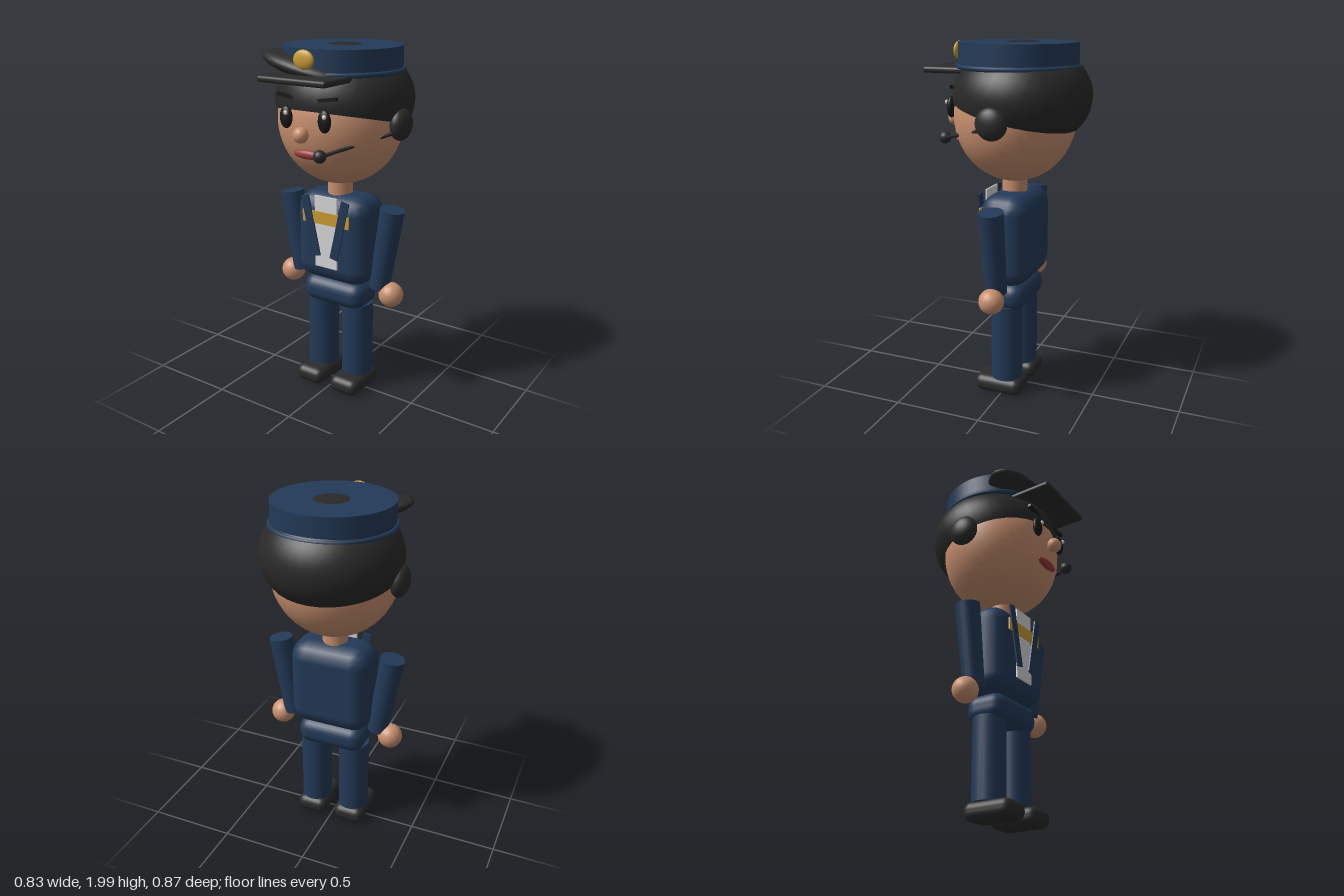
import * as THREE from 'three';
import { RoundedBoxGeometry } from 'three/addons/geometries/RoundedBoxGeometry.js';

const mat = (name, color) => {
  const m = new THREE.MeshStandardMaterial({ color });
  m.name = name;
  return m;
};

export function createModel() {
  const model = new THREE.Group();
  model.name = 'uniformedFigure';
  const navy = mat('navy', 0x233a58), skin = mat('skin', 0xc8906f), dark = mat('charcoal', 0x2b2b2b);
  const black = mat('black', 0x191919), gold = mat('gold', 0xc99c33), white = mat('white', 0xd8d8d8);
  const red = mat('red', 0x9a3c3c);
  const hairMat = mat('hair', 0x292929);
  hairMat.side = THREE.DoubleSide;

  const add = (name, geo, material, x, y, z, rz = 0) => {
    const mesh = new THREE.Mesh(geo, material);
    mesh.name = name;
    mesh.position.set(x, y, z);
    mesh.rotation.z = rz;
    model.add(mesh);
    return mesh;
  };
  const ball = (rx, ry, rz, seg = 24) => new THREE.SphereGeometry(1, seg, Math.round(seg * 0.7)).scale(rx, ry, rz);
  const box = (w, h, d) => new THREE.BoxGeometry(w, h, d);
  const tube = (rt, rb, h, seg = 24) => new THREE.CylinderGeometry(rt, rb, h, seg);
  // tapered rod running from point b up to point a
  const rod = (name, a, b, ra, rb, material) => {
    const top = new THREE.Vector3(...a), bottom = new THREE.Vector3(...b);
    const dir = top.clone().sub(bottom);
    const mesh = add(name, tube(ra, rb, dir.length()), material, 0, 0, 0);
    mesh.position.copy(top).add(bottom).multiplyScalar(0.5);
    mesh.quaternion.setFromUnitVectors(new THREE.Vector3(0, 1, 0), dir.normalize());
  };

  // Body
  add('torso', new RoundedBoxGeometry(0.47, 0.52, 0.28, 2, 0.1), navy, 0, 0.93, -0.02);
  add('hips', new RoundedBoxGeometry(0.4, 0.16, 0.23, 3, 0.07), navy, 0, 0.6, -0.015);
  add('neck', tube(0.07, 0.07, 0.16), skin, 0, 1.22, -0.015);

  // Shirt front, badge bar and lapels
  add('shirtFront', box(0.145, 0.415, 0.009), white, 0, 0.982, 0.127);
  add('badgeBar', box(0.305, 0.07, 0.009), gold, 0, 1.065, 0.132);

  // Head, hair and face
  add('head', ball(0.348, 0.355, 0.332, 40), skin, 0, 1.6, -0.02);
  add('hair', new THREE.SphereGeometry(1, 36, 24, 0, Math.PI * 2, 0, 1.93)
    .rotateX(-0.285).scale(0.38, 0.29, 0.375), hairMat, 0, 1.71, -0.06);
  add('nose', ball(0.042, 0.042, 0.04), skin, 0, 1.57, 0.345);
  add('mouth', ball(0.085, 0.025, 0.022), red, 0, 1.46, 0.292);

  // Cap
  add('capCrown', tube(0.322, 0.322, 0.13, 48), navy, 0, 1.926, -0.037);
  add('capBand', new THREE.TorusGeometry(0.325, 0.013, 8, 48).rotateX(Math.PI / 2), navy, 0, 1.867, -0.037);
  add('capBrim', new RoundedBoxGeometry(0.42, 0.034, 0.25, 3, 0.015), dark, 0, 1.847, 0.307);
  add('capPeak', ball(0.28, 0.058, 0.155, 32), dark, -0.075, 1.892, 0.175, -0.2);
  add('capBadge', ball(0.062, 0.05, 0.02), gold, 0, 1.94, 0.312);

  // Paired parts: s = 1 is the model's left
  for (const s of [1, -1]) {
    const side = s > 0 ? 'left' : 'right';
    add(side + 'Leg', tube(0.09, 0.09, 0.45), navy, s * 0.12, 0.325, -0.015);
    add(side + 'Shoe', new RoundedBoxGeometry(0.185, 0.1, 0.285, 3, 0.045), dark, s * 0.12, 0.055, 0.018);
    rod(side + 'Arm', [s * 0.338, 1.14, -0.015], [s * 0.265, 0.67, -0.015], 0.068, 0.058, navy);
    add(side + 'Hand', ball(0.07, 0.07, 0.07), skin, s * 0.34, 0.642, -0.015);
    add(side + 'Lapel', box(0.05, 0.35, 0.009), navy, s * 0.095, 1.01, 0.138, -s * 0.22);
    add(side + 'Eye', ball(0.038, 0.058, 0.022), black, s * 0.12, 1.645, 0.307);
    add(side + 'EyeHighlight', ball(0.012, 0.012, 0.009, 12), white, s * 0.12 + 0.014, 1.672, 0.33);
    add(side + 'Brow', box(0.11, 0.018, 0.02), black, s * 0.13, 1.752, 0.293, s * 0.15);
    add(side + 'EarCup', ball(0.052, 0.086, 0.086), dark, s * 0.365, 1.605, -0.033);
  }

  // Headset microphone
  rod('micBoom', [0.365, 1.57, 0.02], [0.12, 1.475, 0.35], 0.01, 0.01, dark);
  add('micTip', ball(0.034, 0.034, 0.034), dark, 0.12, 1.476, 0.35);

  return model;
}
